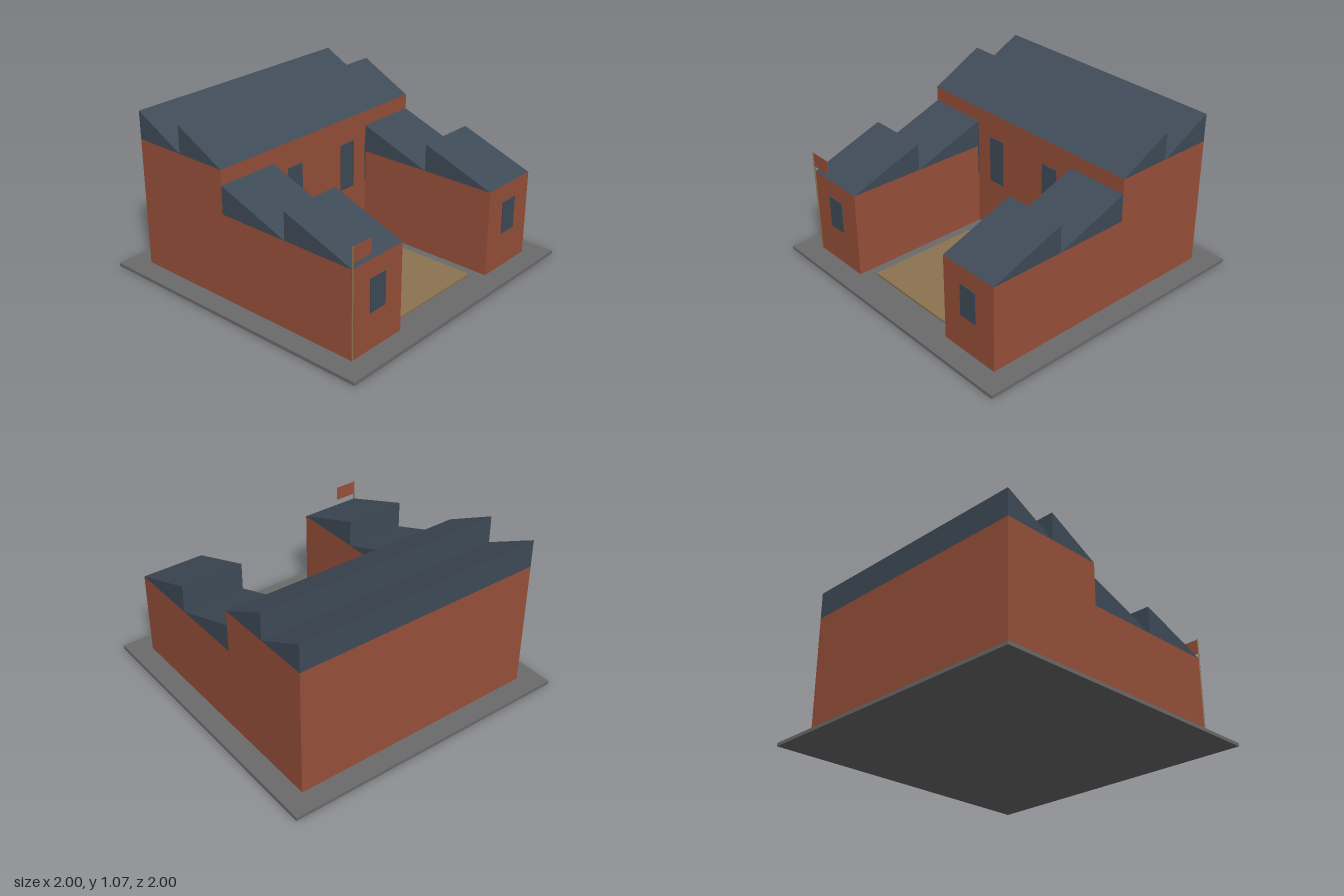
import * as THREE from 'three';

export function createModel() {
  const model = new THREE.Group();
  model.name = 'sawtoothFactory';

  const mat = (name, color) => {
    const m = new THREE.MeshStandardMaterial({ color });
    m.name = name;
    return m;
  };
  const brick = mat('brick', 0x98503a);
  const slate = mat('slate', 0x3f4b58);
  const concrete = mat('concrete', 0x6b6b6b);
  const tan = mat('tan', 0x8b7350);

  const add = (name, geometry, material) => {
    const mesh = new THREE.Mesh(geometry, material);
    mesh.name = name;
    model.add(mesh);
    return mesh;
  };
  // Box given by its limits on each axis
  const box = (name, material, [x0, x1], [y0, y1], [z0, z1]) => {
    const mesh = add(name, new THREE.BoxGeometry(x1 - x0, y1 - y0, z1 - z0), material);
    mesh.position.set((x0 + x1) / 2, (y0 + y1) / 2, (z0 + z1) / 2);
  };
  // Sawtooth prism: slopes up from the front edge to a vertical back face
  const tooth = (name, [x0, x1], [y0, y1], [zBack, zFront]) => {
    const shape = new THREE.Shape();
    shape.moveTo(-zFront, y0);
    shape.lineTo(-zBack, y0);
    shape.lineTo(-zBack, y1);
    shape.closePath();
    const g = new THREE.ExtrudeGeometry(shape, { depth: x1 - x0, bevelEnabled: false });
    g.rotateY(Math.PI / 2);
    g.translate(x0, 0, 0);
    add(name, g, slate);
  };

  const floor = 0.022;
  const edge = 0.857;
  const inner = 0.43;
  const hallFront = -0.143;

  // Ground slab and courtyard
  box('groundSlab', concrete, [-1, 1], [0, floor], [-1, 1]);
  box('courtyard', tan, [-0.357, 0.357], [floor, 0.036], [-0.077, 0.782]);

  // Main hall with two roof teeth
  box('mainHall', brick, [-edge, edge], [floor, 0.88], [-edge, hallFront]);
  tooth('hallRoofFront', [-edge, edge], [0.88, 1.065], [-0.5, hallFront]);
  tooth('hallRoofBack', [-edge, edge], [0.88, 1.065], [-edge, -0.5]);
  box('door', slate, [-0.083, 0.083], [floor, 0.34], [hallFront, -0.134]);

  // Mirrored wings, their roofs and windows
  for (const s of [-1, 1]) {
    const span = (a, b) => (s > 0 ? [a, b] : [-b, -a]);
    const side = s > 0 ? 'left' : 'right';
    box(side + 'Wing', brick, span(inner, edge), [floor, 0.596], [hallFront, edge]);
    tooth(side + 'WingRoofFront', span(inner, edge), [0.596, 0.78], [0.357, edge]);
    tooth(side + 'WingRoofBack', span(inner, edge), [0.596, 0.78], [hallFront, 0.357]);
    box(side + 'WingWindow', slate, span(0.578, 0.707), [0.265, 0.48], [edge, 0.864]);
    // The outer hall window only peeks out beside the wing
    for (const x of [0.245, 0.488]) {
      box(side + 'HallWindow', slate, span(x - 0.063, x + 0.063), [0.39, 0.71], [hallFront, -0.137]);
    }
  }

  // Flagpole and flag at the front right corner
  const pole = add('flagpole', new THREE.CylinderGeometry(0.005, 0.005, 0.735 - floor, 8), tan);
  pole.position.set(-0.857, (0.735 + floor) / 2, 0.86);
  box('flag', brick, [-0.855, -0.705], [0.635, 0.73], [0.858, 0.862]);

  return model;
}
